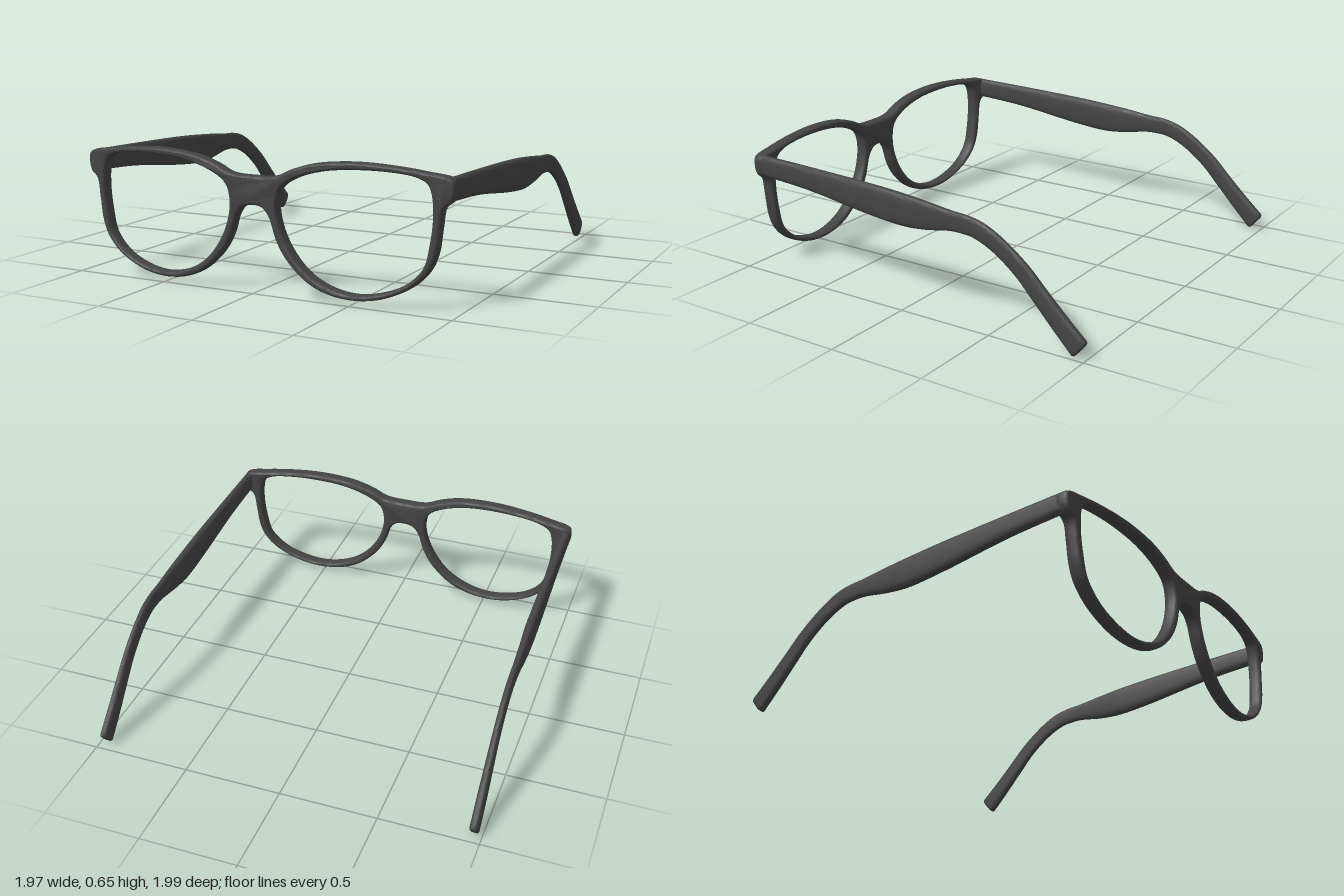
import * as THREE from 'three';
import { toCreasedNormals } from 'three/addons/utils/BufferGeometryUtils.js';

const material = new THREE.MeshStandardMaterial({ color: 0x444444 });

// Smooth closed outline through a few points
function smoothLoop(points, divisions) {
  const curve = new THREE.CatmullRomCurve3(points.map(([x, y]) => new THREE.Vector3(x, y, 0)), true);
  return curve.getPoints(divisions).slice(0, -1).map((p) => new THREE.Vector2(p.x, p.y));
}

// Front: one bevelled plate with two lens openings, curved around the face
function createFront() {
  const half = [
    [0.12, 0.562], [0.2, 0.597], [0.305, 0.629], [0.44, 0.646], [0.57, 0.649], [0.73, 0.639],
    [0.86, 0.623], [0.95, 0.609], [0.972, 0.595], [0.977, 0.54], [0.963, 0.5], [0.93, 0.47],
    [0.914, 0.375], [0.898, 0.265], [0.864, 0.184], [0.785, 0.105], [0.645, 0.04], [0.515, 0.02],
    [0.385, 0.035], [0.28, 0.08], [0.175, 0.175], [0.12, 0.266], [0.085, 0.367], [0.05, 0.407],
  ];
  const mirrored = half.map(([x, y]) => [-x, y]).reverse();
  const outline = [[0, 0.555], ...half, [0, 0.417], ...mirrored].reverse();
  const shape = new THREE.Shape(smoothLoop(outline, 300));

  const lens = [
    [0.872, 0.525], [0.853, 0.572], [0.8, 0.599], [0.675, 0.614], [0.515, 0.614], [0.36, 0.598],
    [0.225, 0.557], [0.147, 0.505], [0.126, 0.423], [0.145, 0.318], [0.2, 0.212], [0.28, 0.126],
    [0.385, 0.07], [0.515, 0.047], [0.645, 0.068], [0.755, 0.117], [0.836, 0.2], [0.865, 0.31],
    [0.878, 0.425],
  ];
  for (const side of [1, -1]) {
    shape.holes.push(new THREE.Path(smoothLoop(lens.map(([x, y]) => [side * x, y]), 130)));
  }

  const bevel = 0.012, depth = 0.016;
  const geometry = new THREE.ExtrudeGeometry(shape, {
    depth, bevelThickness: 0.026, bevelSize: bevel, bevelOffset: -bevel, bevelSegments: 5,
  });
  const pos = geometry.attributes.position;
  for (let i = 0; i < pos.count; i++) {
    const x = pos.getX(i);
    pos.setZ(i, pos.getZ(i) - depth / 2 + 0.966 - 0.063 * x * x);
  }
  const mesh = new THREE.Mesh(toCreasedNormals(geometry, 0.8), material);
  mesh.name = 'frontFrame';
  return mesh;
}

// Temple arm: rounded cross-sections between an upper and a lower edge line
function createTemple(side) {
  // upper z, upper y, lower z, lower y, half thickness, centre x
  const stations = [
    [0.9, 0.606, 0.9, 0.5, 0.023, 0.952],
    [0.6, 0.599, 0.6, 0.481, 0.024, 0.953],
    [0.2, 0.586, 0.2, 0.43, 0.026, 0.955],
    [0, 0.574, 0, 0.415, 0.026, 0.956],
    [-0.13, 0.563, -0.13, 0.425, 0.022, 0.959],
    [-0.28, 0.547, -0.27, 0.449, 0.018, 0.961],
    [-0.37, 0.541, -0.34, 0.45, 0.017, 0.962],
    [-0.45, 0.523, -0.4, 0.443, 0.017, 0.962],
    [-0.55, 0.474, -0.5, 0.401, 0.017, 0.962],
    [-0.685, 0.375, -0.62, 0.315, 0.018, 0.962],
    [-0.79, 0.272, -0.72, 0.213, 0.02, 0.962],
    [-0.89, 0.175, -0.82, 0.107, 0.022, 0.962],
    [-0.99, 0.085, -0.922, 0.002, 0.022, 0.962],
  ];
  const upper = new THREE.CatmullRomCurve3(stations.map((s) => new THREE.Vector3(s[4], s[1], s[0])));
  const lower = new THREE.CatmullRomCurve3(stations.map((s) => new THREE.Vector3(s[5], s[3], s[2])));
  const steps = 72, sides = 28;
  const positions = [], index = [];

  function addRing(t, scale, push) {
    const a = upper.getPoint(t), b = lower.getPoint(t);
    for (let j = 0; j < sides; j++) {
      const angle = (j / sides) * Math.PI * 2;
      const c = Math.cos(angle), s = Math.sin(angle);
      const u = Math.sign(c) * Math.abs(c) ** 0.7 * scale;
      const v = 0.5 + 0.5 * Math.sign(s) * Math.abs(s) ** 0.7 * scale;
      positions.push(
        side * b.x + a.x * u,
        b.y + (a.y - b.y) * v - 0.65 * push,
        b.z + (a.z - b.z) * v - 0.75 * push,
      );
    }
  }

  addRing(0, 0, 0);
  for (let i = 0; i <= steps; i++) addRing(i / steps, 1, 0);
  // rounded tip
  addRing(1, 0.9, 0.009);
  addRing(1, 0.7, 0.012);
  addRing(1, 0, 0.013);

  const rings = positions.length / 3 / sides;
  for (let i = 0; i < rings - 1; i++) {
    for (let j = 0; j < sides; j++) {
      const k = (j + 1) % sides;
      const a = i * sides + j, b = i * sides + k;
      index.push(a, a + sides, b, b, a + sides, b + sides);
    }
  }
  const geometry = new THREE.BufferGeometry();
  geometry.setAttribute('position', new THREE.Float32BufferAttribute(positions, 3));
  geometry.setIndex(index);
  const mesh = new THREE.Mesh(toCreasedNormals(geometry, 0.9), material);
  mesh.name = side > 0 ? 'leftTemple' : 'rightTemple';
  return mesh;
}

export function createModel() {
  const group = new THREE.Group();
  group.name = 'glasses';
  group.add(createFront(), createTemple(1), createTemple(-1));
  return group;
}
